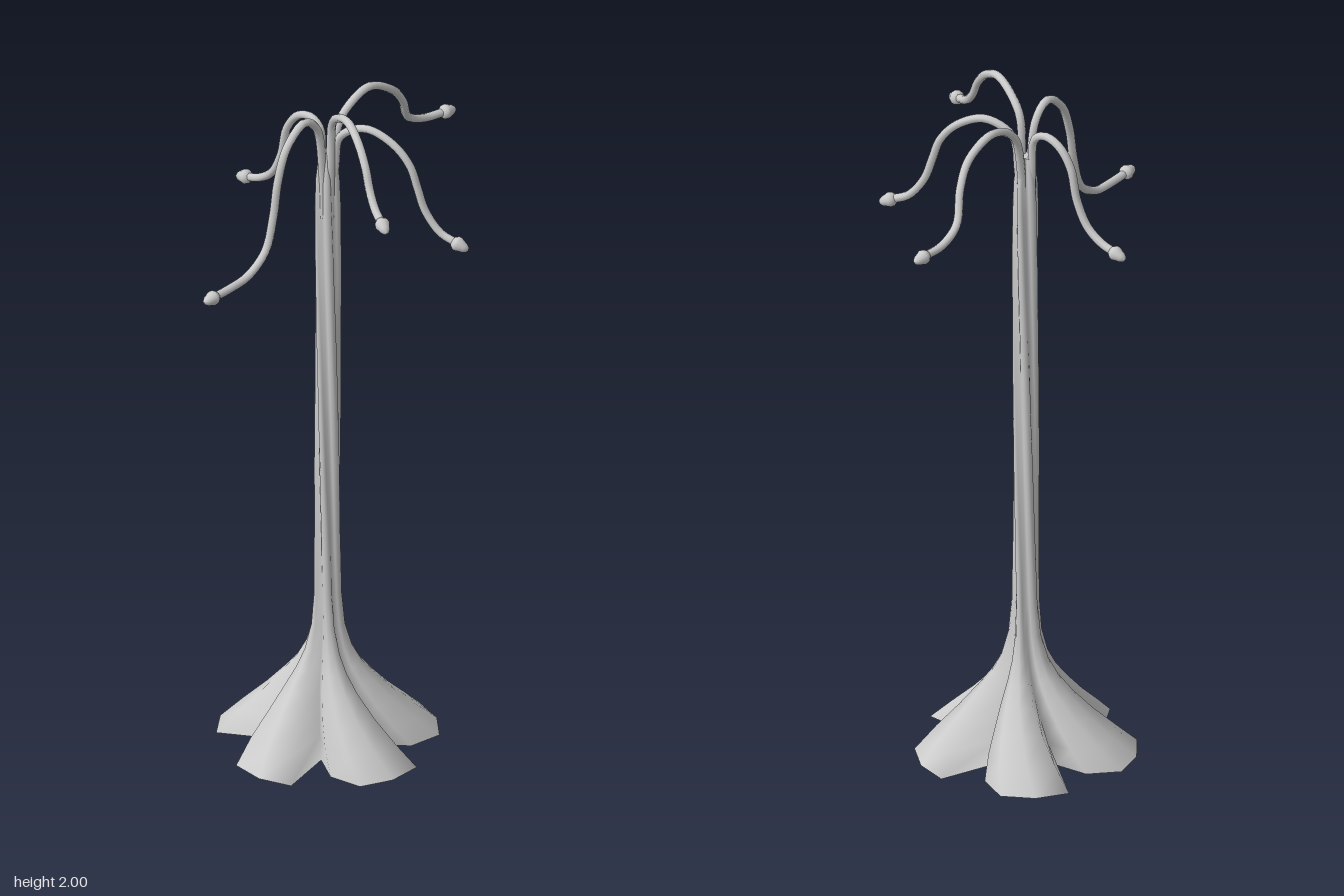
import * as THREE from 'three';

const CX = -0.012, CZ = -0.034; // trunk axis
const rad = THREE.MathUtils.degToRad;
const { lerp, smoothstep } = THREE.MathUtils;
const material = new THREE.MeshStandardMaterial({ color: 0xcccccc });

// One root lobe: [angle, radius ratio] at the ground and higher up on the shaft
const ROOT = [[-34, 0.78], [-19, 1], [-1, 1.02], [17, 1], [29, 0.48]];
const SHAFT = [[-26, 0.82], [-13, 0.97], [0, 1], [14, 0.95], [29, 0.6]];

// Trunk rings: [height, radius, twist in degrees]
const RINGS = [
  [0, 0.303, 41], [0.06, 0.243, 37], [0.12, 0.182, 33], [0.18, 0.13, 28], [0.23, 0.092, 24],
  [0.28, 0.066, 20], [0.35, 0.047, 14], [0.45, 0.039, 7], [0.65, 0.037, -5], [0.85, 0.037, -17],
  [1.05, 0.037, -29], [1.25, 0.037, -41], [1.45, 0.037, -53], [1.65, 0.037, -64], [1.74, 0.034, -68], [1.82, 0.024, -72],
];

function ringPoints([y, r, twist]) {
  const t = smoothstep(y, 0.05, 0.45);
  const pts = [];
  for (let lobe = 0; lobe < 5; lobe++) {
    ROOT.forEach(([a0, r0], k) => {
      const a = rad(twist + lobe * 72 + lerp(a0, SHAFT[k][0], t));
      const d = r * lerp(r0, SHAFT[k][1], t);
      pts.push([CX + d * Math.cos(a), y, CZ - d * Math.sin(a)]);
    });
  }
  return pts;
}

// Twisted five-lobed trunk lofted through the rings
function trunkGeometry() {
  const pos = [], idx = [];
  const n = ROOT.length * 5;
  RINGS.forEach((ring) => ringPoints(ring).forEach((p) => pos.push(...p)));
  for (let i = 0; i < RINGS.length - 1; i++) {
    for (let j = 0; j < n; j++) {
      const k = (j + 1) % n, a = i * n, b = a + n;
      idx.push(a + j, a + k, b + k, a + j, b + k, b + j);
    }
  }
  // End caps with their own vertices so the rims stay sharp
  [[RINGS[0], false], [RINGS[RINGS.length - 1], true]].forEach(([ring, top]) => {
    const c = pos.length / 3;
    pos.push(CX, ring[0], CZ);
    ringPoints(ring).forEach((p) => pos.push(...p));
    for (let j = 0; j < n; j++) {
      const p = c + 1 + j, q = c + 1 + ((j + 1) % n);
      if (top) idx.push(c, p, q);
      else idx.push(c, q, p);
    }
  });
  const g = new THREE.BufferGeometry();
  g.setAttribute('position', new THREE.Float32BufferAttribute(pos, 3));
  g.setIndex(idx);
  g.computeVertexNormals();
  return g;
}

// Tendrils: end point in plan [x, z], then [share of the way out, height, sideways shift in z]
const TENDRILS = [
  { name: 'rightTendril', end: [-0.475, -0.038], path: [
    [0.1, 1.91], [0.21, 1.948], [0.36, 1.90], [0.44, 1.81], [0.48, 1.71], [0.55, 1.615], [0.7, 1.568], [0.86, 1.56], [1, 1.56]] },
  { name: 'leftTendril', end: [0.475, -0.042], path: [
    [0.1, 1.89], [0.18, 1.93, 0.004], [0.34, 1.953, 0.008], [0.51, 1.91, 0.02], [0.62, 1.85, 0.01],
    [0.72, 1.77, -0.012], [0.86, 1.737, -0.012], [1, 1.73, 0]] },
  { name: 'backTendril', end: [0, -0.335], path: [
    [0.1, 1.88], [0.22, 1.902], [0.38, 1.885], [0.51, 1.83], [0.58, 1.74], [0.7, 1.67], [0.86, 1.635], [1, 1.622]] },
  { name: 'frontRightTendril', end: [-0.195, 0.32], path: [
    [0.08, 1.92], [0.17, 1.958], [0.38, 1.988], [0.56, 1.965], [0.7, 1.915], [0.78, 1.86], [0.88, 1.822], [1, 1.806]] },
  { name: 'frontLeftTendril', end: [0.1, 0.33], path: [
    [0.1, 1.875], [0.3, 1.915], [0.51, 1.885], [0.64, 1.83], [0.7, 1.765], [0.76, 1.70], [0.88, 1.642], [1, 1.622]] },
];

// Pointed bud, growing along +y
const budGeometry = new THREE.LatheGeometry(
  [[0, -0.012], [0.013, -0.01], [0.02, 0], [0.021, 0.008], [0.017, 0.018], [0.014, 0.028], [0.008, 0.037], [0, 0.041]]
    .map(([x, y]) => new THREE.Vector2(x, y)), 12);

function tendril({ name, end, path }) {
  const group = new THREE.Group();
  group.name = name;
  const dx = end[0] - CX, dz = end[1] - CZ;
  const len = Math.hypot(dx, dz);
  const at = (f, y, shift = 0) => new THREE.Vector3(CX + dx * f, y, CZ + dz * f + shift);
  const points = [at(0.016 / len, 1.62), at(0.022 / len, 1.78), ...path.map((p) => at(...p))];
  const curve = new THREE.CatmullRomCurve3(points, false, 'centripetal');

  const stem = new THREE.Mesh(new THREE.TubeGeometry(curve, 48, 0.0118, 8), material);
  stem.name = 'stem';
  const bud = new THREE.Mesh(budGeometry, material);
  bud.name = 'bud';
  bud.position.copy(curve.getPoint(1));
  bud.quaternion.setFromUnitVectors(new THREE.Vector3(0, 1, 0), curve.getTangent(1));
  group.add(stem, bud);
  return group;
}

export function createModel() {
  const model = new THREE.Group();
  model.name = 'tendrilTree';
  const trunk = new THREE.Mesh(trunkGeometry(), material);
  trunk.name = 'trunk';
  model.add(trunk, ...TENDRILS.map(tendril));
  return model;
}
